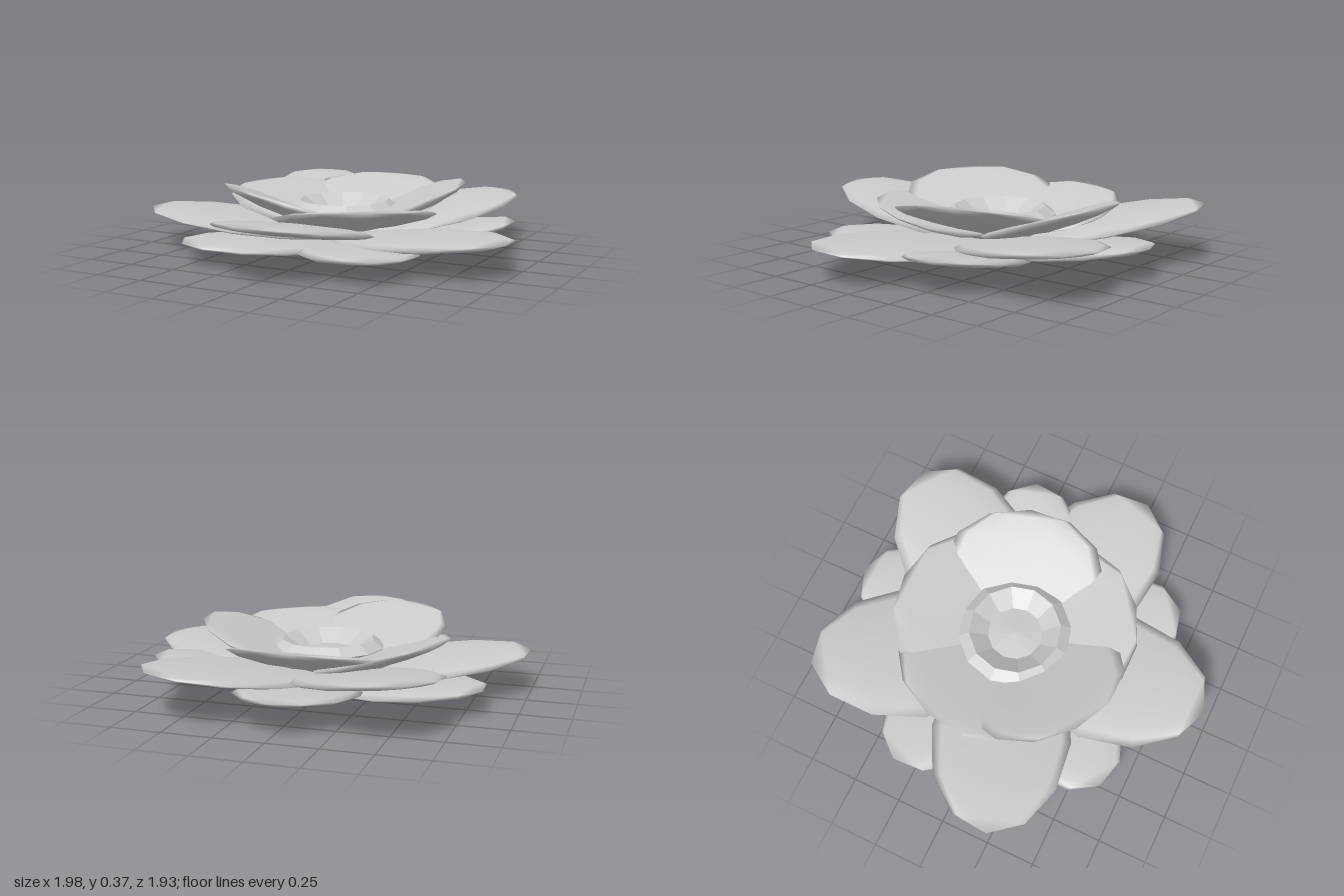
import * as THREE from 'three';
import { mergeVertices } from 'three/addons/utils/BufferGeometryUtils.js';

const CENTRE_Z = -0.075;

// A petal is a flattened low-poly ellipsoid, running outward from the centre.
// r0, r1: inner and outer radius; y0, y1: height of base and tip;
// bend: how the rise builds toward the tip; cup: lift of the side edges.
function makePetal(name, material, { angle, r0, r1, width, thick, y0, y1, bend = 1, cup = 0 }) {
  const sphere = new THREE.SphereGeometry(1, 12, 6);
  sphere.deleteAttribute('uv');
  sphere.deleteAttribute('normal');
  sphere.rotateX(Math.PI / 2); // poles along z
  const geometry = mergeVertices(sphere, 1e-4);
  const p = geometry.attributes.position;
  for (let i = 0; i < p.count; i++) {
    const x = p.getX(i), u = THREE.MathUtils.clamp((p.getZ(i) + 1) / 2, 0, 1);
    const y = y0 + (y1 - y0) * Math.pow(u, bend) + cup * x * x + thick * p.getY(i);
    p.setXYZ(i, x * width, y, r0 + (r1 - r0) * u);
  }
  geometry.computeVertexNormals();
  const mesh = new THREE.Mesh(geometry, material);
  mesh.name = name;
  mesh.rotation.y = THREE.MathUtils.degToRad(angle);
  return mesh;
}

export function createModel() {
  const model = new THREE.Group();
  model.name = 'flower';
  const flower = new THREE.Group();
  flower.name = 'blossom';
  flower.position.z = CENTRE_Z;
  model.add(flower);

  const grey = new THREE.MeshStandardMaterial({ color: 0xcccccc });
  const facetted = new THREE.MeshStandardMaterial({ color: 0xcccccc, flatShading: true });

  // Each layer: five petals, [angle, base height, tip height]
  const layers = [
    {
      name: 'lowerPetal', shape: { r0: 0.02, r1: 0.885, width: 0.3, thick: 0.035 },
      petals: [[36, 0.05, 0.13], [108, 0.02, 0.19], [180, 0.06, 0.18], [252, 0.05, 0.14], [324, 0.05, 0.12]],
    },
    {
      name: 'outerPetal', shape: { r0: 0.01, r1: 1.04, width: 0.355, thick: 0.035 },
      petals: [[0, 0.1, 0.3], [72, 0.09, 0.18], [144, 0.1, 0.26], [216, 0.1, 0.3], [288, 0.09, 0.215]],
    },
    {
      name: 'innerPetal', shape: { r0: 0.02, r1: 0.63, width: 0.42, thick: 0.035, bend: 1.4, cup: 0.035 },
      petals: [[36, 0.15, 0.31], [108, 0.16, 0.38], [180, 0.15, 0.34], [252, 0.15, 0.32], [324, 0.16, 0.38]],
    },
  ];
  for (const { name, shape, petals } of layers) {
    const layer = new THREE.Group();
    layer.name = name + 's';
    for (const [angle, y0, y1] of petals) layer.add(makePetal(name, grey, { ...shape, angle, y0, y1 }));
    flower.add(layer);
  }

  // Twelve-sided cup with a raised rim and a shallow cone inside
  const profile = [[0, 0.13], [0.2, 0.14], [0.29, 0.24], [0.235, 0.28], [0.14, 0.215], [0, 0.23]]
    .map(([r, y]) => new THREE.Vector2(r, y));
  const cup = new THREE.Mesh(new THREE.LatheGeometry(profile, 12), facetted);
  cup.name = 'centreCup';
  flower.add(cup);

  return model;
}
